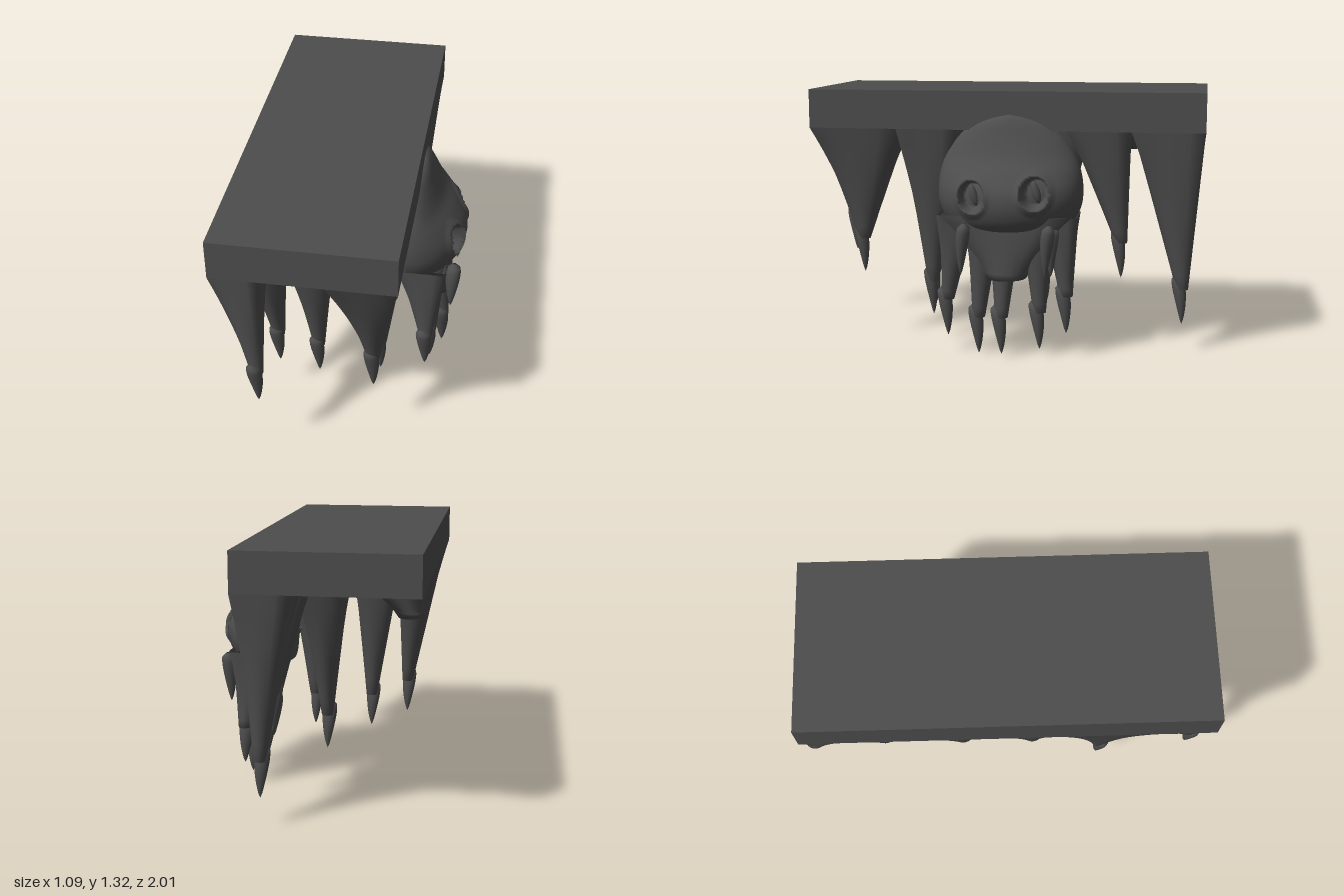
import * as THREE from 'three';

const stone = new THREE.MeshStandardMaterial({ color: 0x4d4d4d, side: THREE.DoubleSide });
stone.name = 'dark stone';

// Skin a stack of closed rings, listed from top to bottom
function loft(rows, cols, point) {
  const pos = [], index = [];
  for (let i = 0; i <= rows; i++) {
    for (let j = 0; j < cols; j++) pos.push(...point(i / rows, (j / cols) * Math.PI * 2));
  }
  for (let i = 0; i < rows; i++) {
    for (let j = 0; j < cols; j++) {
      const a = i * cols + j, b = i * cols + (j + 1) % cols;
      index.push(a, b, a + cols, b, b + cols, a + cols);
    }
  }
  const g = new THREE.BufferGeometry();
  g.setAttribute('position', new THREE.Float32BufferAttribute(pos, 3));
  g.setIndex(index);
  g.computeVertexNormals();
  return g;
}

const lerp = THREE.MathUtils.lerp;

// Tapered hanging piece: rectangular at the top, round at the bottom
function dripGeometry([x0, x1, z0, z1], top, [tx, ty, tz], radius) {
  const rows = 10;
  return loft(rows + 1, 24, (t, a) => {
    const u = Math.min(1, t * (rows + 1) / rows);
    const closed = t > 0.999 ? 0 : 1;
    const c = Math.cos(a), s = Math.sin(a), m = Math.max(Math.abs(c), Math.abs(s));
    const k = lerp(1 / m, 1, Math.min(1, u * 1.3));
    const rx = lerp((x1 - x0) / 2, radius, u) * k * closed;
    const rz = lerp((z1 - z0) / 2, radius, u) * k * closed;
    return [lerp((x0 + x1) / 2, tx, u) + rx * c, lerp(top, ty, u), lerp((z0 + z1) / 2, tz, u) + rz * s];
  });
}

// Slightly curved pointed claw ending at its tip
function clawGeometry([x, y, z], length = 0.25, r = 0.037, lean = 0.03) {
  return loft(12, 12, (t, a) => {
    const rad = r * Math.pow(Math.sin(Math.PI * (0.04 + 0.96 * Math.sqrt(t))), 0.7) || 0;
    const bend = lean * Math.pow(1 - t, 2);
    return [x - bend * 0.5 + rad * Math.cos(a), y + length * (1 - t), z + bend + rad * 0.9 * Math.sin(a)];
  });
}

// Skull outline: height, front reach, half width
const skullRows = [
  [1.21, 0.31, 0.01], [1.195, 0.33, 0.1], [1.16, 0.35, 0.19], [1.1, 0.373, 0.262], [1.0, 0.42, 0.33],
  [0.92, 0.485, 0.358], [0.84, 0.533, 0.367], [0.77, 0.54, 0.362], [0.7, 0.52, 0.335],
  [0.65, 0.48, 0.29], [0.63, 0.42, 0.22], [0.63, 0.29, 0.02],
];
const eyes = [[0.125, 0.82], [-0.185, 0.842]];

function skullGeometry() {
  const curve = new THREE.CatmullRomCurve3(skullRows.map((r) => new THREE.Vector3(...r)));
  return loft(110, 220, (t, a) => {
    const p = curve.getPoint(t);
    const c = Math.cos(a), z = -0.035 + p.z * Math.sin(a);
    let x = 0.27 + c * (c > 0 ? p.y - 0.27 : 0.08);
    if (c > 0) {
      // Sunken sockets with a raised rim
      for (const [ez, ey] of eyes) {
        const d = Math.hypot((z - ez) / 0.066, (p.x - ey) / 0.077);
        if (d < 1) x -= 0.08 * Math.min(1, (1 - d) * 6);
        else if (d < 1.5) x += 0.014 * (1.5 - d) * 2;
      }
    }
    return [x, p.x, z];
  });
}

export function createModel() {
  const model = new THREE.Group();
  const add = (name, geometry) => {
    const mesh = new THREE.Mesh(geometry, stone);
    mesh.name = name;
    model.add(mesh);
    return mesh;
  };

  // Ledge slab
  const base = 1.13;
  add('slab', new THREE.BoxGeometry(0.86, 1.325 - base, 2)).position.set(-0.12, (1.325 + base) / 2, 0);

  // Clawed drips: top rectangle, then claw tip
  const drips = [
    [[-0.55, -0.32, 0.72, 1], [-0.36, 0.37, 0.96]],
    [[-0.02, 0.31, 0.53, 1], [0.17, 0.36, 0.76]],
    [[-0.55, -0.3, 0.25, 0.72], [-0.36, 0.21, 0.49]],
    [[-0.33, -0.05, 0.28, 0.66], [-0.16, 0.13, 0.45]],
    [[0, 0.31, 0.24, 0.55], [0.155, 0.14, 0.395]],
    [[-0.12, 0.14, -0.42, 0.05], [-0.005, 0.18, -0.18]],
    [[0.02, 0.31, -0.63, -0.32], [0.2, 0.38, -0.59]],
    [[0.04, 0.31, -1, -0.64], [0.2, 0.15, -0.9]],
  ];
  for (const [rect, tip] of drips) {
    add('drip', dripGeometry(rect, base, [tip[0], tip[1] + 0.18, tip[2]], 0.03));
    add('claw', clawGeometry(tip));
  }

  // Blunt stubs along the left edge
  const stubs = [
    [[-0.55, -0.38, -1, -0.78], [-0.5, 1.05, -0.93]],
    [[-0.55, -0.3, -0.8, -0.42], [-0.46, 0.97, -0.6]],
    [[-0.55, -0.28, -0.45, -0.05], [-0.45, 0.91, -0.22]],
    [[-0.55, -0.3, -0.08, 0.28], [-0.46, 0.93, 0.12]],
  ];
  for (const [rect, end] of stubs) add('stub', dripGeometry(rect, base, end, 0.05));

  // Skull
  add('skull', skullGeometry());
  for (const [z, y] of eyes) {
    const pupil = add('pupil', new THREE.SphereGeometry(0.03, 16, 12));
    pupil.scale.set(0.8, 1.9, 0.7);
    pupil.rotation.x = 0.3;
    pupil.position.set(0.43, y, z);
  }

  // Jaw mass behind the teeth
  add('jaw', dripGeometry([0.21, 0.47, -0.36, 0.29], 0.72, [0.38, 0.4, -0.03], 0.1));

  // Lower teeth: tapered roots with claws
  const teeth = [
    [0.375, 0.09, 0.27], [0.385, 0.005, 0.11], [0.44, 0.02, -0.015], [0.39, 0.04, -0.2], [0.4, 0.13, -0.335],
  ];
  for (const tip of teeth) {
    const z = tip[2] * 0.85 - 0.01;
    add('toothRoot', dripGeometry([0.22, 0.46, z - 0.09, z + 0.09], 0.72, [tip[0], tip[1] + 0.19, tip[2]], 0.032));
    add('tooth', clawGeometry(tip, 0.25, 0.04));
  }

  // Upper fangs
  const fangs = [[0.49, 0.43, 0.18], [0.49, 0.43, -0.24], [0.43, 0.42, -0.26]];
  for (const tip of fangs) add('fang', clawGeometry(tip, 0.26, 0.038, -0.02));

  return model;
}
